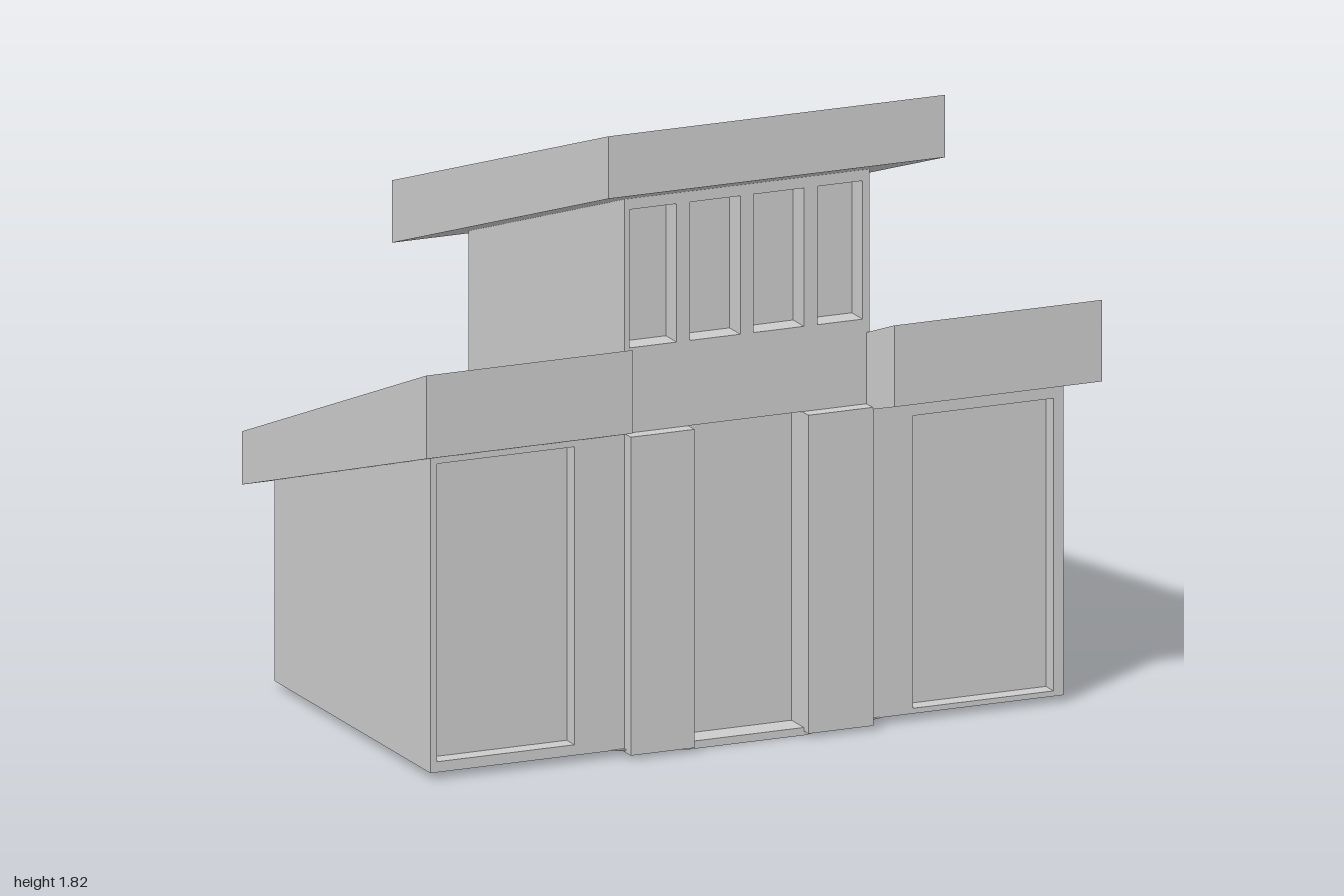
import * as THREE from 'three';

const material = new THREE.MeshStandardMaterial({ color: 0xcccccc, flatShading: true });

function add(group, name, geometry) {
  const mesh = new THREE.Mesh(geometry, material);
  mesh.name = name;
  group.add(mesh);
  return mesh;
}

// Box between two corners
function block(group, name, x0, x1, y0, y1, z0, z1) {
  const mesh = add(group, name, new THREE.BoxGeometry(x1 - x0, y1 - y0, z1 - z0));
  mesh.position.set((x0 + x1) / 2, (y0 + y1) / 2, (z0 + z1) / 2);
}

// Four corners: front left, front right, back right, back left
function ring(x0, x1, zBack, zFront, yBack, yFront) {
  return [[x0, yFront, zFront], [x1, yFront, zFront], [x1, yBack, zBack], [x0, yBack, zBack]];
}

// Closed solid through rings of four corners, from the underside to the top
function loft(rings) {
  const pos = [];
  const quad = (a, b, c, d) => pos.push(...a, ...b, ...c, ...a, ...c, ...d);
  const [p, q, r, s] = rings[0];
  quad(s, r, q, p);
  for (let k = 0; k + 1 < rings.length; k++) {
    for (let i = 0; i < 4; i++) {
      const j = (i + 1) % 4;
      quad(rings[k][i], rings[k][j], rings[k + 1][j], rings[k + 1][i]);
    }
  }
  quad(...rings[rings.length - 1]);
  const geometry = new THREE.BufferGeometry();
  geometry.setAttribute('position', new THREE.Float32BufferAttribute(pos, 3));
  geometry.computeVertexNormals();
  return geometry;
}

function extrude(points, holes, z0, z1) {
  const shape = new THREE.Shape(points.map(([x, y]) => new THREE.Vector2(x, y)));
  for (const [x0, x1, y0, y1] of holes) {
    shape.holes.push(new THREE.Path([
      new THREE.Vector2(x0, y0), new THREE.Vector2(x0, y1),
      new THREE.Vector2(x1, y1), new THREE.Vector2(x1, y0),
    ]));
  }
  const geometry = new THREE.ExtrudeGeometry(shape, { depth: z1 - z0, bevelEnabled: false });
  geometry.translate(0, 0, z0);
  return geometry;
}

export function createModel() {
  const model = new THREE.Group();
  model.name = 'building';
  const wallBack = 0.44, wallFront = 0.51;

  // Ground floor and tower, both with sloping tops hidden in the roofs
  add(model, 'groundFloor', loft([
    ring(-0.94, 0.95, -0.51, wallBack, 0.02, 0.02),
    ring(-0.94, 0.95, -0.51, wallBack, 0.65, 0.94),
  ]));
  add(model, 'tower', loft([
    ring(-0.36, 0.37, -0.51, wallBack, 0.6, 0.6),
    ring(-0.36, 0.37, -0.51, wallBack, 1.25, 1.58),
  ]));

  // Front wall with shop windows, doorway and tower windows cut out
  const shopWindows = [[-0.92, -0.51, 0.05, 0.89], [0.5, 0.92, 0.035, 0.86]];
  const towerWindows = [[-0.345, -0.205], [-0.165, -0.015], [0.025, 0.175], [0.215, 0.35]];
  add(model, 'frontWall', extrude(
    [[-0.94, 0.02], [-0.17, 0.02], [-0.17, 0.91], [0.17, 0.91], [0.17, 0.02], [0.95, 0.02],
      [0.95, 0.93], [0.37, 0.93], [0.37, 1.6], [-0.36, 1.6], [-0.36, 0.93], [-0.94, 0.93]],
    [...shopWindows, ...towerWindows.map(([a, b]) => [a, b, 1.15, 1.54])],
    wallBack, wallFront));
  for (const [x0, x1, y0, y1] of shopWindows) {
    block(model, 'shopWindowPane', x0, x1, y0, y1, 0.43, 0.46);
  }

  // Pilasters beside the doorway
  block(model, 'leftPilaster', 0.17, 0.365, 0.012, 0.91, wallBack, 0.55);
  block(model, 'rightPilaster', -0.36, -0.17, 0.012, 0.91, wallBack, 0.55);

  // Shallow swelling under the middle of the floor
  add(model, 'base', extrude(
    [[-0.4, 0.022], [-0.17, 0], [0.17, 0], [0.4, 0.022]], [], -0.51, 0.52));

  // Lower roof: two wings and a strip behind the tower
  const wing = (x0Front, x1Front, x0Back, x1Back, zFront, yBack, yFront) => [
    [x0Front, yFront, zFront], [x1Front, yFront, zFront],
    [x1Back, yBack, -0.59], [x0Back, yBack, -0.59],
  ];
  add(model, 'leftWingRoof', loft([
    wing(0.365, 0.985, 0.34, 1, 0.685, 0.56, 0.945),
    wing(0.365, 0.985, 0.34, 1, 0.685, 0.71, 1.175),
  ]));
  add(model, 'rightWingRoof', loft([
    wing(-1, -0.385, -1, -0.34, 0.615, 0.56, 0.94),
    wing(-1, -0.385, -1, -0.34, 0.615, 0.71, 1.175),
    [[-0.945, 1.115, 0.53], [-0.37, 1.115, 0.53], [-0.34, 0.715, -0.53], [-0.945, 0.715, -0.53]],
  ]));
  add(model, 'rearRoofStrip', loft([
    ring(-0.34, 0.34, -0.59, -0.45, 0.56, 0.602),
    ring(-0.34, 0.34, -0.59, -0.45, 0.71, 0.761),
  ]));

  // Tower roof: a sloping tray with a tapered rim
  const slope = 0.343, mid = 1.572;
  const tray = (x0, x1, z0, z1, drop) =>
    ring(x0, x1, z0, z1, mid + slope * z0 - drop, mid + slope * z1 - drop);
  add(model, 'towerRoof', loft([
    tray(-0.5, 0.505, -0.705, 0.71, 0.176),
    tray(-0.5, 0.505, -0.705, 0.71, 0),
    tray(-0.455, 0.46, -0.645, 0.64, 0.02),
    tray(-0.41, 0.415, -0.58, 0.575, 0.085),
  ]));

  return model;
}
